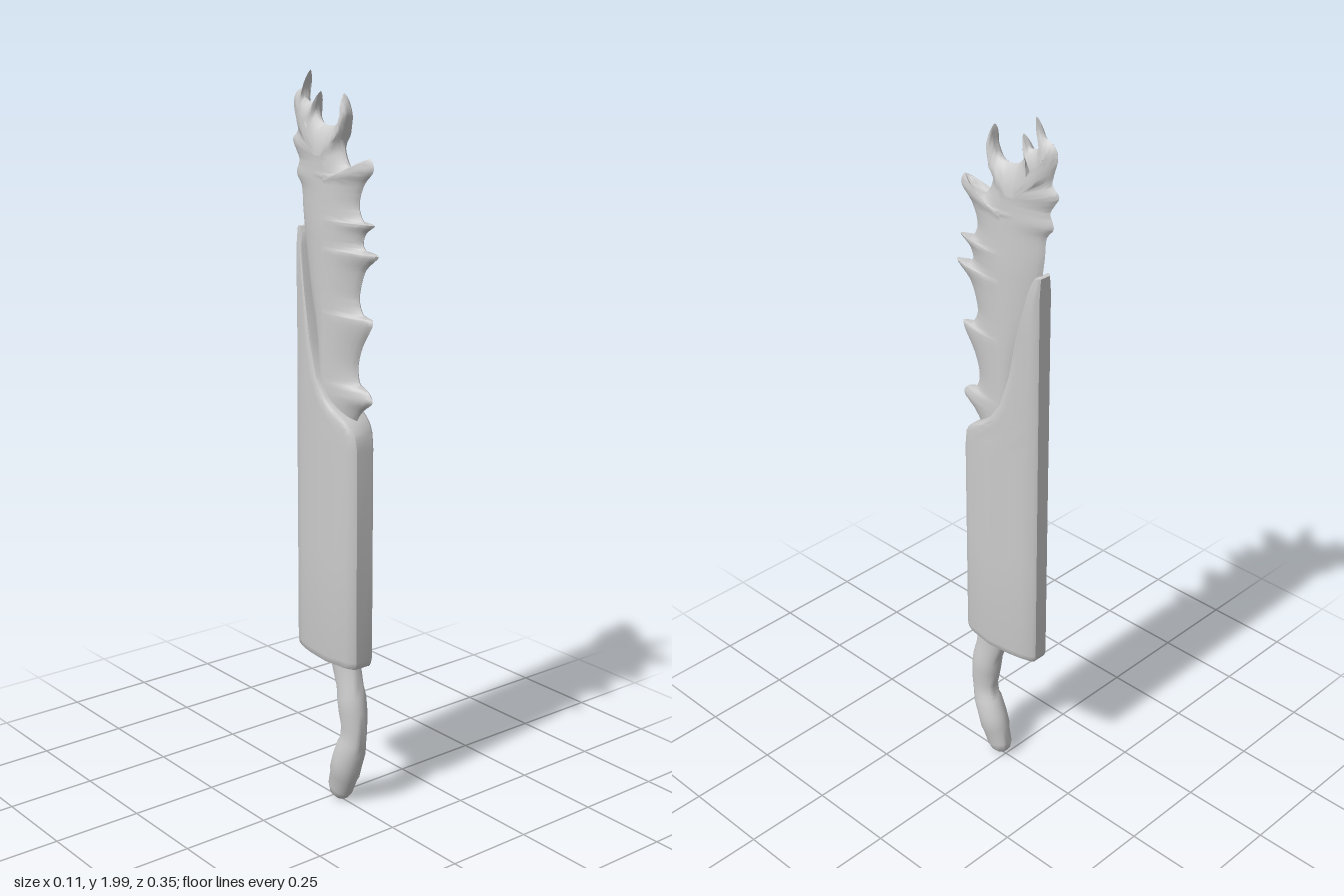
import * as THREE from 'three';
import { toCreasedNormals } from 'three/addons/utils/BufferGeometryUtils.js';

const { lerp, clamp } = THREE.MathUtils;
const V = (x, y, z) => new THREE.Vector3(x, y, z);

// piecewise linear lookup in [[key, value], ...]
function lookup(table, k) {
  for (let i = 1; i < table.length; i++) {
    const [a, va] = table[i - 1], [b, vb] = table[i];
    if (k <= b) return lerp(va, vb, clamp((k - a) / (b - a), 0, 1));
  }
  return table[table.length - 1][1];
}

function makeMesh(name, points, index, crease) {
  const geo = new THREE.BufferGeometry().setFromPoints(points);
  geo.setIndex(index);
  const mesh = new THREE.Mesh(
    toCreasedNormals(geo, crease),
    new THREE.MeshStandardMaterial({ color: 0xcccccc, side: THREE.DoubleSide })
  );
  mesh.name = name;
  return mesh;
}

// skin over closed rings stacked upwards, with both ends capped
function loft(name, rings, crease) {
  const n = rings[0].length, points = rings.flat(), index = [];
  for (let i = 0; i < rings.length - 1; i++)
    for (let j = 0; j < n; j++) {
      const a = i * n + j, b = i * n + (j + 1) % n;
      index.push(a, b, b + n, a, b + n, a + n);
    }
  [0, rings.length - 1].forEach((r) => {
    const centre = V(0, 0, 0);
    rings[r].forEach((p) => centre.addScaledVector(p, 1 / n));
    const c = points.push(centre) - 1;
    for (let j = 0; j < n; j++) {
      const a = r * n + j, b = r * n + (j + 1) % n;
      if (r) index.push(c, a, b); else index.push(c, b, a);
    }
  });
  return makeMesh(name, points, index, crease);
}

// Sheath: lens-like section, its front cut away in a long sweeping curve
function sheath() {
  const halfWidth = [[-0.135, 0.02], [-0.128, 0.028], [-0.08, 0.045], [0.02, 0.055],
    [0.1, 0.043], [0.125, 0.035]];
  const frontEdge = [[1.04, 0.125], [1.08, 0.119], [1.1, 0.106], [1.115, 0.09], [1.14, 0.052],
    [1.17, 0.014], [1.22, -0.02], [1.31, -0.05], [1.44, -0.076], [1.55, -0.103],
    [1.585, -0.112], [1.6, -0.12]];
  const steps = [1, 0.97, 0.9, 0.75, 0.6, 0.45, 0.3, 0.15, 0.03, 0];
  const rows = [0.43, 0.436, 0.45, 0.75, ...frontEdge.map((e) => e[0])];
  const rings = rows.map((y) => {
    const zf = lookup(frontEdge, y);
    const shrink = lookup([[0.43, 0.9], [0.436, 0.96], [0.45, 1], [1.55, 1], [1.6, 0.8]], y);
    const side = steps.map((f) => {
      const z = lerp(-0.135, zf, f);
      const round = lookup([[0.9, 1], [0.97, 0.92], [1, 0.75]], f);
      return V(lookup(halfWidth, z) * round * shrink, y, z * (y < 0.45 ? 0.5 + shrink / 2 : 1));
    });
    return [...side, ...side.slice().reverse().map((p) => V(-p.x, p.y, p.z))];
  });
  return loft('sheath', rings, 0.7);
}

// Handle: bent knuckled grip, rows of [y, z, radius across x, radius along z]
function handle() {
  const rows = [[0.012, 0.017, 0.014, 0.018], [0.022, 0.02, 0.024, 0.031], [0.042, 0.025, 0.03, 0.041],
    [0.085, 0.04, 0.035, 0.044], [0.095, 0.043, 0.039, 0.047], [0.13, 0.054, 0.039, 0.047],
    [0.18, 0.073, 0.037, 0.046], [0.2, 0.079, 0.031, 0.043], [0.24, 0.084, 0.03, 0.043],
    [0.29, 0.079, 0.036, 0.046], [0.33, 0.073, 0.036, 0.047], [0.36, 0.066, 0.031, 0.046],
    [0.41, 0.052, 0.03, 0.051], [0.46, 0.04, 0.03, 0.056]];
  const sides = 20;
  const rings = rows.map(([y, z, rx, rz], i) => {
    const a = rows[Math.max(i - 1, 0)], b = rows[Math.min(i + 1, rows.length - 1)];
    const t = V(0, b[0] - a[0], b[1] - a[1]).normalize();
    return Array.from({ length: sides }, (_, j) => {
      const w = (j / sides) * Math.PI * 2, s = rz * Math.sin(w);
      return V(rx * Math.cos(w), y + s * t.z, z - s * t.y);
    });
  });
  return loft('handle', rings, 0.9);
}

// Blade: flame outline swelling towards a branching centre line
function blade() {
  const front = [[0.07, 1.0], [0.09, 1.11], [0.118, 1.145], [0.155, 1.175], [0.135, 1.2],
    [0.105, 1.212], [0.095, 1.255], [0.112, 1.31], [0.155, 1.385], [0.118, 1.395], [0.1, 1.43],
    [0.108, 1.475], [0.128, 1.515], [0.176, 1.555], [0.132, 1.56], [0.115, 1.575],
    [0.125, 1.605], [0.16, 1.63], [0.12, 1.632], [0.1, 1.66], [0.1, 1.69], [0.12, 1.73]];
  // outline z, y and the centre-line point z, y it grows from
  const top = [[0.155, 1.768, 0.01, 1.735], [0.14, 1.795, 0.02, 1.74], [0.12, 1.768, 0.01, 1.74],
    [0.09, 1.755, -0.01, 1.745], [0.06, 1.77, -0.01, 1.76], [0.04, 1.815, -0.02, 1.79],
    [0.048, 1.86, 0.03, 1.84], [0.058, 1.905, 0.044, 1.885], [0.037, 1.948, 0.042, 1.91],
    [0.032, 1.905, 0.044, 1.885], [0.02, 1.88, 0.03, 1.84], [-0.01, 1.865, -0.02, 1.79],
    [-0.048, 1.873, -0.05, 1.79], [-0.068, 1.905, -0.09, 1.85], [-0.058, 1.948, -0.08, 1.9],
    [-0.08, 1.92, -0.1, 1.87], [-0.11, 1.925, -0.125, 1.89], [-0.118, 1.96, -0.125, 1.92],
    [-0.1, 2.0, -0.118, 1.95], [-0.128, 1.958, -0.125, 1.92], [-0.16, 1.94, -0.125, 1.89],
    [-0.17, 1.915, -0.1, 1.87], [-0.158, 1.87, -0.05, 1.79], [-0.154, 1.845, -0.02, 1.79]];
  const back = [[-0.176, 1.82], [-0.162, 1.795], [-0.148, 1.77], [-0.16, 1.735], [-0.138, 1.705],
    [-0.132, 1.65], [-0.122, 1.58], [-0.1, 1.45], [-0.06, 1.3], [-0.05, 1.0]];
  const straight = ([z, y]) => [z, y, -0.01, Math.min(y, 1.785)];
  const all = [...front.map(straight), ...top, ...back.map(straight)];
  const outline = new THREE.CatmullRomCurve3(all.map((p) => V(0, p[1], p[0])));
  const thickness = [[1.0, 0.036], [1.6, 0.036], [1.8, 0.03], [1.9, 0.019], [2, 0.01]];
  const levels = [0, 0.04, 0.12, 0.25, 0.45, 0.7, 1];
  const sub = 4, count = (all.length - 1) * sub, L = levels.length;
  const points = [], index = [];
  for (const side of [1, -1]) {
    const base = points.length;
    for (let i = 0; i <= count; i++) {
      const edge = outline.getPoint(i / count);
      const k = Math.min(Math.floor(i / sub), all.length - 2), f = i / sub - k;
      const mid = V(0, lerp(all[k][3], all[k + 1][3], f), lerp(all[k][2], all[k + 1][2], f));
      const h = lookup(thickness, mid.y);
      for (const s of levels) {
        const p = edge.clone().lerp(mid, s);
        p.x = side * h * Math.pow(Math.sin((s * Math.PI) / 2), 0.7);
        points.push(p);
      }
    }
    for (let i = 0; i < count; i++)
      for (let k = 0; k < L - 1; k++) {
        const a = base + i * L + k, b = a + L, c = b + 1, d = a + 1;
        if (side > 0) index.push(a, c, b, a, d, c);
        else index.push(a, b, c, a, c, d);
      }
  }
  return makeMesh('flameBlade', points, index, 1.0);
}

export function createModel() {
  const group = new THREE.Group();
  group.name = 'flameKnife';
  group.add(sheath(), handle(), blade());
  return group;
}
